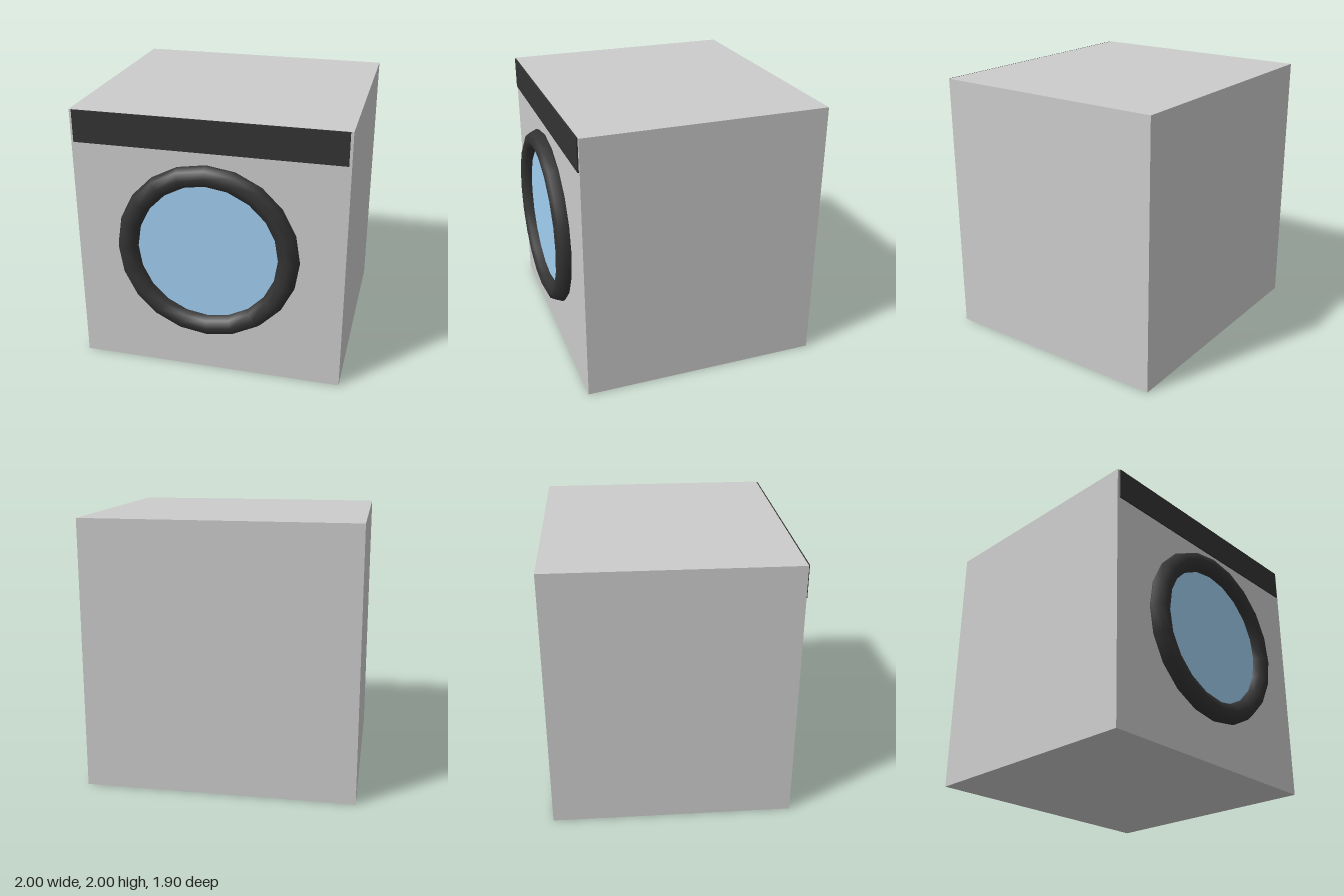
import * as THREE from 'three';

export function createModel() {
  const model = new THREE.Group();
  model.name = 'washingMachine';

  const grey = new THREE.MeshStandardMaterial({ color: 0xcccccc });
  const dark = new THREE.MeshStandardMaterial({ color: 0x333333 });
  const blue = new THREE.MeshStandardMaterial({ color: 0xa0cef0 });

  const add = (name, geometry, material, x, y, z) => {
    const mesh = new THREE.Mesh(geometry, material);
    mesh.name = name;
    mesh.position.set(x, y, z);
    model.add(mesh);
    return mesh;
  };

  // Cabinet: plain box, its front face at z = 0.85
  add('cabinet', new THREE.BoxGeometry(2, 2, 1.8), grey, 0, 1, -0.05);

  // Control panel: shallow strip along the top of the front, top just under the lid
  add('controlPanel', new THREE.BoxGeometry(1.96, 0.239, 0.05), dark, 0, 1.8795, 0.835);

  // Door: thick ring, partly sunk into the cabinet, around a flat window
  add('doorRing', new THREE.TorusGeometry(0.6, 0.08, 8, 20), dark, 0, 1, 0.87);
  const glass = new THREE.CylinderGeometry(0.525, 0.525, 0.04, 20);
  glass.rotateX(Math.PI / 2).rotateZ(Math.PI / 2);
  add('doorGlass', glass, blue, 0, 1, 0.855);

  return model;
}
